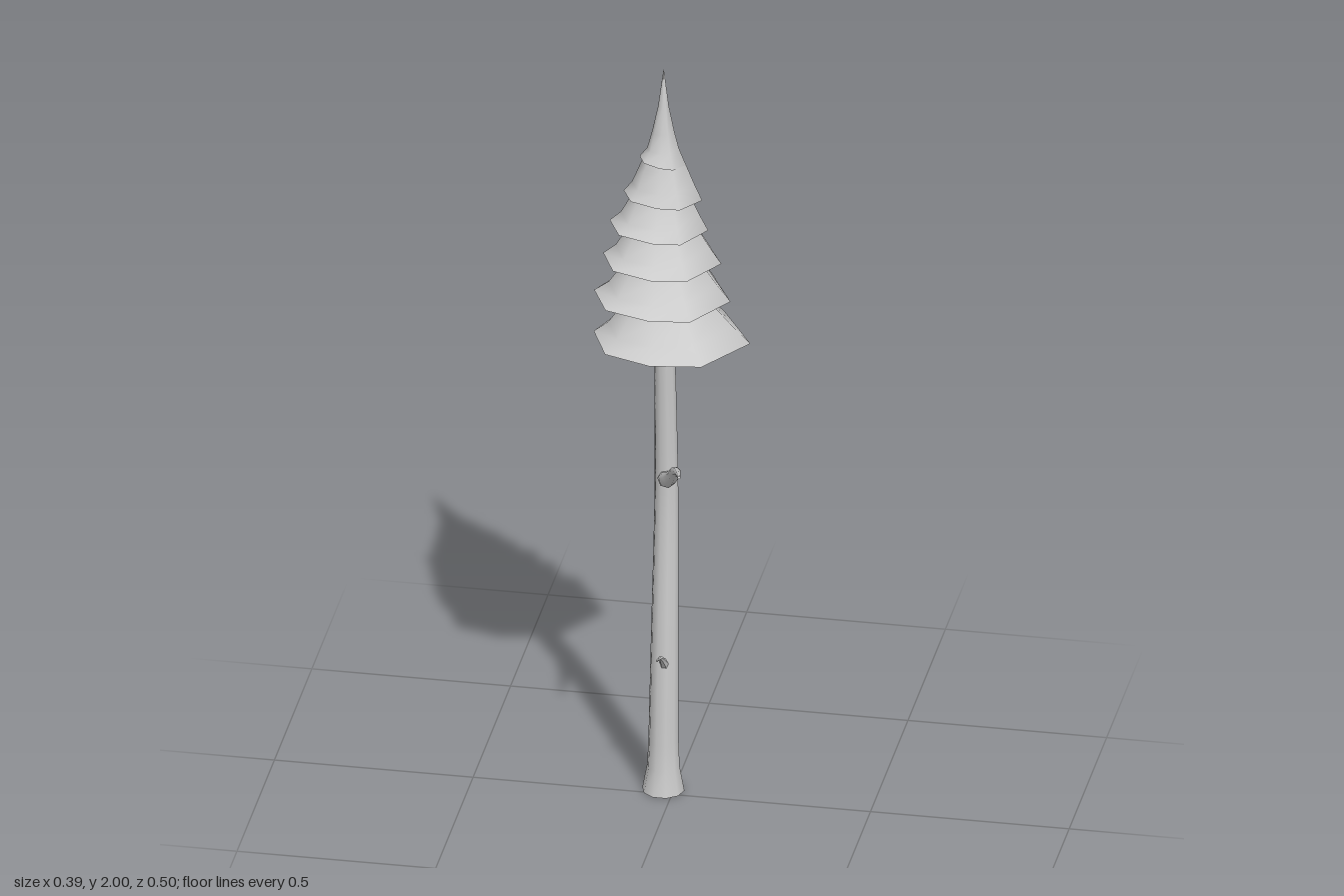
import * as THREE from 'three';
import { toCreasedNormals } from 'three/addons/utils/BufferGeometryUtils.js';

const material = new THREE.MeshStandardMaterial({ color: 0xcccccc });

// Skin a stack of equal rings, closing both ends with fans
function loft(rings, name) {
  const n = rings[0].length, pos = [], index = [];
  rings.forEach(r => r.forEach(p => pos.push(p.x, p.y, p.z)));
  for (let j = 0; j < rings.length - 1; j++) {
    for (let i = 0; i < n; i++) {
      const a = j * n + i, b = j * n + (i + 1) % n;
      index.push(a, a + n, b, b, a + n, b + n);
    }
  }
  const cap = (ring, start, flip) => {
    const c = ring.reduce((s, p) => s.add(p), new THREE.Vector3()).divideScalar(n);
    const k = pos.length / 3;
    pos.push(c.x, c.y, c.z);
    for (let i = 0; i < n; i++) {
      const a = start + i, b = start + (i + 1) % n;
      index.push(k, flip ? b : a, flip ? a : b);
    }
  };
  cap(rings[0], 0, false);
  cap(rings[rings.length - 1], (rings.length - 1) * n, true);
  const geo = new THREE.BufferGeometry();
  geo.setAttribute('position', new THREE.Float32BufferAttribute(pos, 3));
  geo.setIndex(index);
  const mesh = new THREE.Mesh(toCreasedNormals(geo, 1.0), material);
  mesh.name = name;
  return mesh;
}

// Tapered limb along a smooth path; stations are [x, y, z, radius]
function limb(stations, sides, steps, name) {
  const curve = new THREE.CatmullRomCurve3(stations.map(s => new THREE.Vector3(s[0], s[1], s[2])));
  const frames = curve.computeFrenetFrames(steps);
  const rings = [];
  for (let j = 0; j <= steps; j++) {
    const u = j / steps, t = curve.getUtoTmapping(u) * (stations.length - 1);
    const k = Math.min(Math.floor(t), stations.length - 2);
    const r = THREE.MathUtils.lerp(stations[k][3], stations[k + 1][3], t - k);
    const c = curve.getPointAt(u), ring = [];
    for (let i = 0; i < sides; i++) {
      const a = i / sides * Math.PI * 2;
      ring.push(c.clone()
        .addScaledVector(frames.normals[j], Math.cos(a) * r)
        .addScaledVector(frames.binormals[j], -Math.sin(a) * r));
    }
    rings.push(ring);
  }
  return loft(rings, name);
}

// Uneven octagon shared by all foliage tiers, running back, left, front, right
const OCTAGON = [[0, -1], [0.55, -0.92], [1, 0], [0.57, 0.84], [0, 1], [-0.7, 0.84], [-1, 0.23], [-0.67, -0.65]];
const CX = -0.026, CZ = -0.03;

// Flared skirt; reach is [-x, +x, back, front], profile rows are [height, scale]
function tier(y, reach, tilt, profile, name) {
  const rings = profile.map(([h, s]) => OCTAGON.map(([x, z]) => new THREE.Vector3(
    CX + x * s * (x < 0 ? reach[0] : reach[1]),
    y + h + (h === 0 ? tilt * z - 0.01 * x : 0),
    CZ + z * s * (z < 0 ? reach[2] : reach[3]))));
  return loft(rings, name);
}

export function createModel() {
  const tree = new THREE.Group();
  tree.name = 'tree';

  // Gently bowed trunk with a flared foot
  tree.add(limb([
    [-0.026, 0, -0.026, 0.053], [-0.026, 0.08, -0.026, 0.039], [-0.025, 0.4, -0.038, 0.035],
    [-0.024, 0.8, -0.056, 0.03], [-0.024, 1.05, -0.045, 0.028], [-0.024, 1.28, -0.03, 0.025],
    [-0.026, 1.6, -0.028, 0.015]], 10, 24, 'trunk'));

  // Bare branches below the crown
  const branches = new THREE.Group();
  branches.name = 'branches';
  branches.add(
    limb([[-0.022, 0.855, -0.05, 0.022], [-0.014, 0.872, -0.005, 0.022], [0.008, 0.908, 0.045, 0.016],
      [0.027, 0.955, 0.105, 0.012], [0.045, 0.985, 0.165, 0.009], [0.065, 1.015, 0.25, 0.004]], 7, 12, 'largeFrontBranch'),
    limb([[-0.028, 1.03, -0.055, 0.015], [-0.033, 1.048, -0.09, 0.012], [-0.042, 1.075, -0.135, 0.009],
      [-0.047, 1.092, -0.18, 0.006], [-0.055, 1.1, -0.25, 0.004]], 7, 10, 'backBranch'),
    limb([[-0.02, 0.35, -0.015, 0.013], [-0.021, 0.375, 0.01, 0.008], [-0.022, 0.395, 0.035, 0.005],
      [-0.025, 0.404, 0.07, 0.002]], 6, 6, 'frontTwig'),
    limb([[-0.02, 1.2, -0.03, 0.014], [0.02, 1.215, -0.03, 0.012], [0.07, 1.235, -0.03, 0.009],
      [0.12, 1.257, -0.03, 0.006], [0.17, 1.272, -0.03, 0.003]], 6, 8, 'leftBranch'),
    limb([[-0.03, 1.195, -0.025, 0.014], [-0.05, 1.215, -0.005, 0.01], [-0.075, 1.24, 0.018, 0.007],
      [-0.11, 1.268, 0.04, 0.003]], 6, 6, 'rightBranch'));
  tree.add(branches);

  // Crown of stacked skirts, narrowing upwards
  const crown = new THREE.Group();
  crown.name = 'crown';
  const skirt = [[0, 1], [0.035, 0.79], [0.085, 0.58], [0.15, 0.3]];
  [
    [1.268, [0.168, 0.218, 0.175, 0.19], 0.002],
    [1.38, [0.167, 0.168, 0.168, 0.186], 0.012],
    [1.483, [0.145, 0.145, 0.145, 0.167], 0.012],
    [1.573, [0.13, 0.112, 0.116, 0.138], 0.01],
    [1.655, [0.097, 0.097, 0.088, 0.095], 0.005],
  ].forEach(([y, reach, tilt], i) => crown.add(tier(y, reach, tilt, skirt, 'foliageTier' + (i + 1))));

  // Slender pointed top
  crown.add(tier(1.75, [0.058, 0.056, 0.056, 0.058], 0.003,
    [[0, 1], [0.035, 0.68], [0.08, 0.48], [0.15, 0.23], [0.25, 0.01]], 'foliageTip'));
  tree.add(crown);
  return tree;
}
